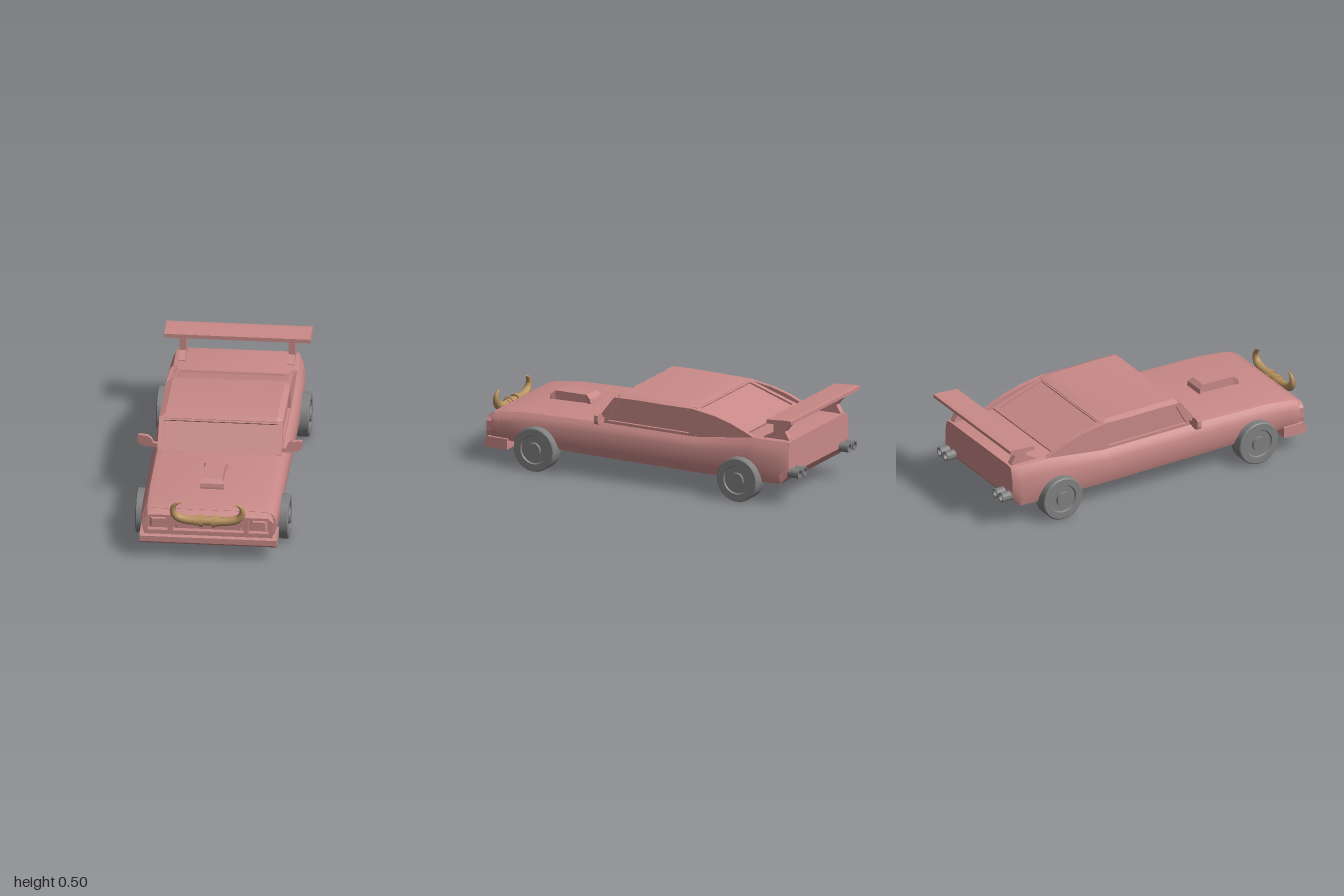
import * as THREE from 'three';
import { toCreasedNormals } from 'three/addons/utils/BufferGeometryUtils.js';

const paint = new THREE.MeshStandardMaterial({ color: 0xc98a88 });
const dark = new THREE.MeshStandardMaterial({ color: 0x808080 });
const horn = new THREE.MeshStandardMaterial({ color: 0xb8925f });

const toShape = (pts) => new THREE.Shape(pts.map(([x, y]) => new THREE.Vector2(x, y)));
const rect = (x0, x1, y0, y1) => [[x0, y0], [x1, y0], [x1, y1], [x0, y1]];
// Half outline, listed bottom to top on +x, closed by its mirror image
const mirrored = (half) => [...half, ...half.map(([x, y]) => [-x, y]).reverse()];

function plate(pts, depth, holes = []) {
  const shape = toShape(pts);
  holes.forEach((h) => shape.holes.push(toShape(h)));
  return new THREE.ExtrudeGeometry(shape, { depth, bevelEnabled: false });
}

// Side profile given as [z, y], extruded from x0 to x1
function extrudeX(pts, x0, x1, holes) {
  return plate(pts, x1 - x0, holes).rotateY(-Math.PI / 2).translate(x1, 0, 0);
}

// Skin through closed rings [z, points], front to back, capped at both ends
function loft(sections, crease = 0.5) {
  const pos = [], idx = [], n = sections[0][1].length;
  for (const [z, ring] of sections) for (const [x, y] of ring) pos.push(x, y, z);
  for (let i = 0; i < sections.length - 1; i++)
    for (let j = 0; j < n; j++) {
      const k = (j + 1) % n, a = i * n + j, b = i * n + k;
      idx.push(a, a + n, b, b, a + n, b + n);
    }
  [0, sections.length - 1].forEach((s, end) => {
    const [z, ring] = sections[s], c = pos.length / 3;
    pos.push(0, ring.reduce((t, p) => t + p[1], 0) / n, z);
    for (let j = 0; j < n; j++) {
      const a = s * n + j, b = s * n + ((j + 1) % n);
      idx.push(c, end ? b : a, end ? a : b);
    }
  });
  const g = new THREE.BufferGeometry();
  g.setAttribute('position', new THREE.Float32BufferAttribute(pos, 3));
  g.setIndex(idx);
  return toCreasedNormals(g, crease);
}

// Sloping window surround between a lower and an upper edge
function windowFrame(zBot, yBot, zTop, yTop, w, border, depth) {
  const a = Math.atan2(zBot - zTop, yTop - yBot);
  const len = Math.hypot(zBot - zTop, yTop - yBot);
  const g = plate(rect(-w, w, 0, len), depth, [rect(-w + border, w - border, border, len - border)]);
  return g.translate(0, 0, a > 0 ? -depth : 0).rotateX(-a).translate(0, yBot, zBot);
}

export function createModel() {
  const car = new THREE.Group();
  car.name = 'car';
  const add = (name, geometry, material = paint, x = 0, y = 0, z = 0) => {
    const m = new THREE.Mesh(geometry, material);
    m.name = name;
    m.position.set(x, y, z);
    car.add(m);
    return m;
  };

  // Body shell: bottom, belt and top heights, and widths, along z
  const ring = (yb, yBelt, yt, wb, w, wt) => mirrored([
    [wb, yb], [w, yb + (yBelt - yb) * 0.35], [w, yBelt],
    [w * 0.55 + wt * 0.45, yBelt + (yt - yBelt) * 0.55], [wt, yt - 0.006], [wt - 0.03, yt],
  ]);
  const nose = ring(0.145, 0.235, 0.262, 0.355, 0.362, 0.335);
  add('body', loft([
    [0.905, ring(0.142, 0.243, 0.288, 0.36, 0.37, 0.34)],
    [0.85, ring(0.14, 0.248, 0.3, 0.36, 0.376, 0.342)],
    [0.7, ring(0.135, 0.255, 0.315, 0.36, 0.378, 0.345)],
    [0.3, ring(0.125, 0.26, 0.322, 0.36, 0.378, 0.345)],
    [-0.35, ring(0.116, 0.262, 0.318, 0.36, 0.378, 0.345)],
    [-0.55, ring(0.116, 0.275, 0.342, 0.36, 0.378, 0.345)],
    [-0.7, ring(0.116, 0.285, 0.362, 0.36, 0.378, 0.345)],
    [-0.895, ring(0.117, 0.285, 0.364, 0.355, 0.372, 0.345)],
    [-0.945, ring(0.175, 0.285, 0.362, 0.34, 0.352, 0.335)],
  ]));

  // Nose with openings for grille and headlights
  const openings = [[-0.195, 0.195], [-0.335, -0.225], [0.225, 0.335]];
  add('noseEdge', loft([[0.936, nose], [0.934, nose]]).scale(1, 1, 1).translate(0, 0, -0.03));
  add('nosePanel', plate(nose, 0.036, openings.map(([a, b]) => rect(a, b, 0.17, 0.248))), paint, 0, 0, 0.902);
  add('hoodLip', loft([
    [0.938, mirrored([[0.345, 0.252], [0.335, 0.262], [0.3, 0.263]])],
    [0.9, mirrored([[0.36, 0.252], [0.34, 0.284], [0.31, 0.29]])],
  ]));
  openings.forEach(([a, b], i) => {
    const r = (m) => rect(a + m, b - m, 0.17 + m * 0.8, 0.248 - m * 0.8);
    add(i ? 'headlight' : 'grille', loft([[0.925, r(0.02)], [0.905, r(0.008)]], 0.2));
  });

  // Front bumper
  add('bumper', extrudeX([[0.8, 0.09], [0.935, 0.088], [0.945, 0.1], [0.945, 0.132],
    [0.925, 0.152], [0.8, 0.15]], -0.38, 0.38));

  // Hood scoop
  const scoop = (w, y) => rect(-w, w, 0.3, y);
  add('hoodScoop', loft([
    [0.7, scoop(0.066, 0.325)], [0.695, scoop(0.066, 0.345)], [0.67, scoop(0.055, 0.366)],
    [0.475, scoop(0.055, 0.366)], [0.45, scoop(0.066, 0.345)], [0.445, scoop(0.066, 0.325)],
  ], 0.2));

  // Cabin: inner core acts as the glass, framed by pillars and roof
  add('cabinGlass', extrudeX([[0.235, 0.3], [0.235, 0.325], [0.125, 0.468], [-0.34, 0.465],
    [-0.64, 0.362], [-0.64, 0.3]], -0.327, 0.327));
  const side = [[0.27, 0.3], [0.262, 0.325], [0.15, 0.47], [-0.34, 0.47], [-0.48, 0.447],
    [-0.58, 0.418], [-0.66, 0.385], [-0.72, 0.358], [-0.72, 0.3]];
  const sideWindow = [[0.19, 0.332], [0.125, 0.45], [-0.315, 0.45], [-0.315, 0.328]];
  add('leftPillars', extrudeX(side, 0.318, 0.343, [sideWindow]));
  add('rightPillars', extrudeX(side, -0.343, -0.318, [sideWindow]));
  add('windshieldFrame', windowFrame(0.262, 0.322, 0.147, 0.474, 0.335, 0.018, 0.025));
  add('rearWindowFrame', windowFrame(-0.66, 0.367, -0.335, 0.476, 0.32, 0.03, 0.016));
  const roof = (y, h) => mirrored([[0.343, y - h], [0.343, y - h * 0.6], [0.31, y]]);
  add('roof', loft([
    [0.152, roof(0.47, 0.012)], [0.125, roof(0.486, 0.026)], [0, roof(0.488, 0.026)],
    [-0.3, roof(0.482, 0.024)], [-0.355, roof(0.472, 0.016)],
  ], 0.3));

  // Rear wing on two struts
  add('wing', extrudeX([[-0.835, 0.472], [-0.965, 0.47], [-0.99, 0.482], [-0.99, 0.5],
    [-0.965, 0.502], [-0.835, 0.494]], -0.405, 0.405));
  const strut = [[-0.775, 0.35], [-0.775, 0.368], [-0.835, 0.4], [-0.835, 0.48],
    [-0.95, 0.48], [-0.94, 0.45], [-0.905, 0.41], [-0.93, 0.368], [-0.93, 0.35]];
  const pipe = toCreasedNormals(new THREE.LatheGeometry(
    [[0.018, 0], [0.027, 0], [0.027, 0.07], [0.019, 0.07], [0.019, 0.01], [0, 0.01]]
      .map(([r, y]) => new THREE.Vector2(r, y)), 20).rotateX(-Math.PI / 2), 0.6);

  // Wheel turned around its axle, outer face towards +x
  const wheel = toCreasedNormals(new THREE.LatheGeometry(
    [[0, 0], [0.119, 0], [0.125, 0.005], [0.125, 0.088], [0.119, 0.093], [0.082, 0.093],
      [0.077, 0.084], [0.042, 0.084], [0.04, 0.098], [0, 0.098]]
      .map(([r, y]) => new THREE.Vector2(r, y)), 36).rotateZ(-Math.PI / 2), 0.6);

  const mirrorShape = [[0.33, 0.325], [0.42, 0.325], [0.45, 0.337], [0.456, 0.352], [0.456, 0.386],
    [0.44, 0.39], [0.4, 0.388], [0.378, 0.372], [0.37, 0.35], [0.33, 0.348]];

  for (const s of [1, -1]) {
    const sideName = s > 0 ? 'left' : 'right';
    add(sideName + 'WingStrut', extrudeX(strut, s * 0.302 - 0.018, s * 0.302 + 0.018));
    for (const dx of [-0.03, 0.03]) add(sideName + 'Exhaust', pipe, dark, s * 0.292 + dx, 0.182, -0.932);
    for (const [end, z] of [['Front', 0.612], ['Rear', -0.657]])
      add(sideName + end + 'Wheel', wheel, dark, s * 0.331, 0.125, z).rotation.y = s > 0 ? 0 : Math.PI;
    // Side mirror, outer end swept back
    const g = plate(mirrorShape.map(([x, y]) => [x * s, y]), 0.024);
    const p = g.attributes.position;
    for (let i = 0; i < p.count; i++) p.setZ(i, p.getZ(i) + 0.21 - (Math.abs(p.getX(i)) - 0.34) * 0.15);
    g.computeVertexNormals();
    add(sideName + 'Mirror', g);
  }
  for (const z of [0.612, -0.657])
    add('axle', new THREE.CylinderGeometry(0.022, 0.022, 0.68, 20).rotateZ(Math.PI / 2), dark, 0, 0.118, z);

  // Horn ornament: one tapered tube with collars
  const half = [[0.07, 0.25], [0.13, 0.256], [0.175, 0.275], [0.193, 0.31], [0.182, 0.342], [0.145, 0.358]];
  const path = [...half.map(([x, y]) => [-x, y]).reverse(), [0, 0.25], ...half];
  const curve = new THREE.CatmullRomCurve3(path.map(([x, y]) => new THREE.Vector3(x, y, 0.968)));
  const segs = 64, sides = 16;
  const tube = new THREE.TubeGeometry(curve, segs, 0.024, sides);
  const tp = tube.attributes.position, v = new THREE.Vector3();
  for (let i = 0; i <= segs; i++) {
    const c = curve.getPointAt(i / segs), t = Math.abs(i / segs - 0.5) * 2;
    const k = t < 0.5 ? 1 : Math.max(0.03, 1 - ((t - 0.5) / 0.5) ** 1.8);
    for (let j = 0; j <= sides; j++) {
      const n = i * (sides + 1) + j;
      v.fromBufferAttribute(tp, n).sub(c).multiplyScalar(k).add(c);
      tp.setXYZ(n, v.x, v.y, v.z);
    }
  }
  add('horns', tube, horn);
  for (const [x, r, w] of [[0.035, 0.034, 0.024], [-0.035, 0.034, 0.024], [0.06, 0.028, 0.028], [-0.06, 0.028, 0.028]])
    add('hornCollar', new THREE.CylinderGeometry(r, r, w, 20).rotateZ(Math.PI / 2), horn, x, 0.25, 0.968);

  car.position.x = -0.007;
  const model = new THREE.Group();
  model.add(car);
  return model;
}
